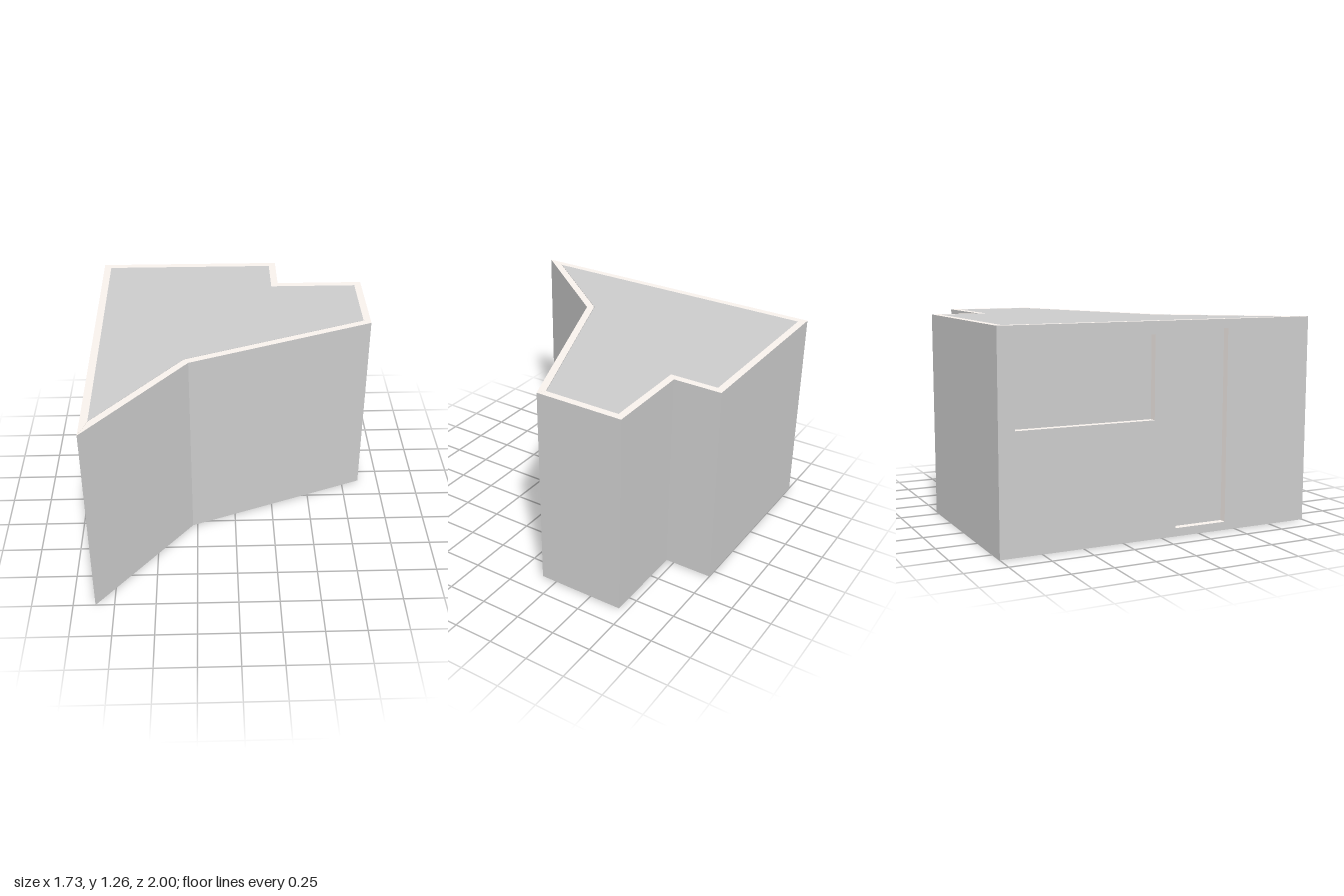
import * as THREE from 'three';

const HEIGHT = 1.265;
const THICK = 0.045;

// Plan corners as [x, z]: outside and inside faces of the walls
const OUTER = [[-0.865, -1], [0.31, -1], [0.31, -0.7], [0.865, -0.7], [0.865, -0.15], [-0.28, 0.29], [-0.865, 1]];
const INNER = [[-0.82, -0.955], [0.265, -0.955], [0.265, -0.655], [0.82, -0.655], [0.82, -0.183], [-0.308, 0.25], [-0.82, 0.872]];
const NAMES = ['backWall', 'notchSideWall', 'notchBackWall', 'leftWall', 'frontWall', 'slantedFrontWall', 'openingsWall'];

// Openings of the long wall: [start, end, bottom, top], measured from its front end
const OPENINGS = [
  [1.054, 1.904, 0.7, 1.19], // window
  [0.57, 0.91, 0.05, 1.21], // door
];

const grey = new THREE.MeshStandardMaterial({ color: 0xcccccc });
const light = new THREE.MeshStandardMaterial({ color: 0xf8f1ec });

const rectangle = (Type, u0, u1, v0, v1) =>
  new Type([[u0, v0], [u1, v0], [u1, v1], [u0, v1]].map(([u, v]) => new THREE.Vector2(u, v)));

// One wall: elevation extruded inwards, ends mitred to the inside corners
function makeWall(i) {
  const j = (i + 1) % OUTER.length;
  const [a, b, innerA, innerB] = [OUTER[i], OUTER[j], INNER[i], INNER[j]].map(([x, z]) => new THREE.Vector3(x, 0, z));
  const length = a.distanceTo(b);
  const along = b.clone().sub(a).normalize();
  const up = new THREE.Vector3(0, 1, 0);
  const inward = along.clone().cross(up);

  const shape = rectangle(THREE.Shape, 0, length, 0, HEIGHT);
  if (NAMES[i] === 'openingsWall') {
    for (const opening of OPENINGS) shape.holes.push(rectangle(THREE.Path, ...opening));
  }
  const geometry = new THREE.ExtrudeGeometry(shape, { depth: THICK, bevelEnabled: false });

  const uA = innerA.sub(a).dot(along);
  const uB = innerB.sub(a).dot(along);
  const pos = geometry.attributes.position;
  for (let k = 0; k < pos.count; k++) {
    if (pos.getZ(k) < THICK / 2) continue;
    if (pos.getX(k) < 1e-4) pos.setX(k, uA);
    else if (pos.getX(k) > length - 1e-4) pos.setX(k, uB);
  }
  geometry.applyMatrix4(new THREE.Matrix4().makeBasis(along, up, inward).setPosition(a));
  geometry.computeVertexNormals();

  const wall = new THREE.Mesh(geometry, [grey, light]);
  wall.name = NAMES[i];
  return wall;
}

// Solid room volume: gives the ceiling, the floor and the panels behind the openings
function makeRoom() {
  const shape = new THREE.Shape(INNER.map(([x, z]) => new THREE.Vector2(x, -z)));
  const geometry = new THREE.ExtrudeGeometry(shape, { depth: HEIGHT, bevelEnabled: false });
  geometry.rotateX(-Math.PI / 2);
  const room = new THREE.Mesh(geometry, grey);
  room.name = 'roomVolume';
  return room;
}

export function createModel() {
  const model = new THREE.Group();
  model.name = 'room';
  OUTER.forEach((_, i) => model.add(makeWall(i)));
  model.add(makeRoom());
  return model;
}
